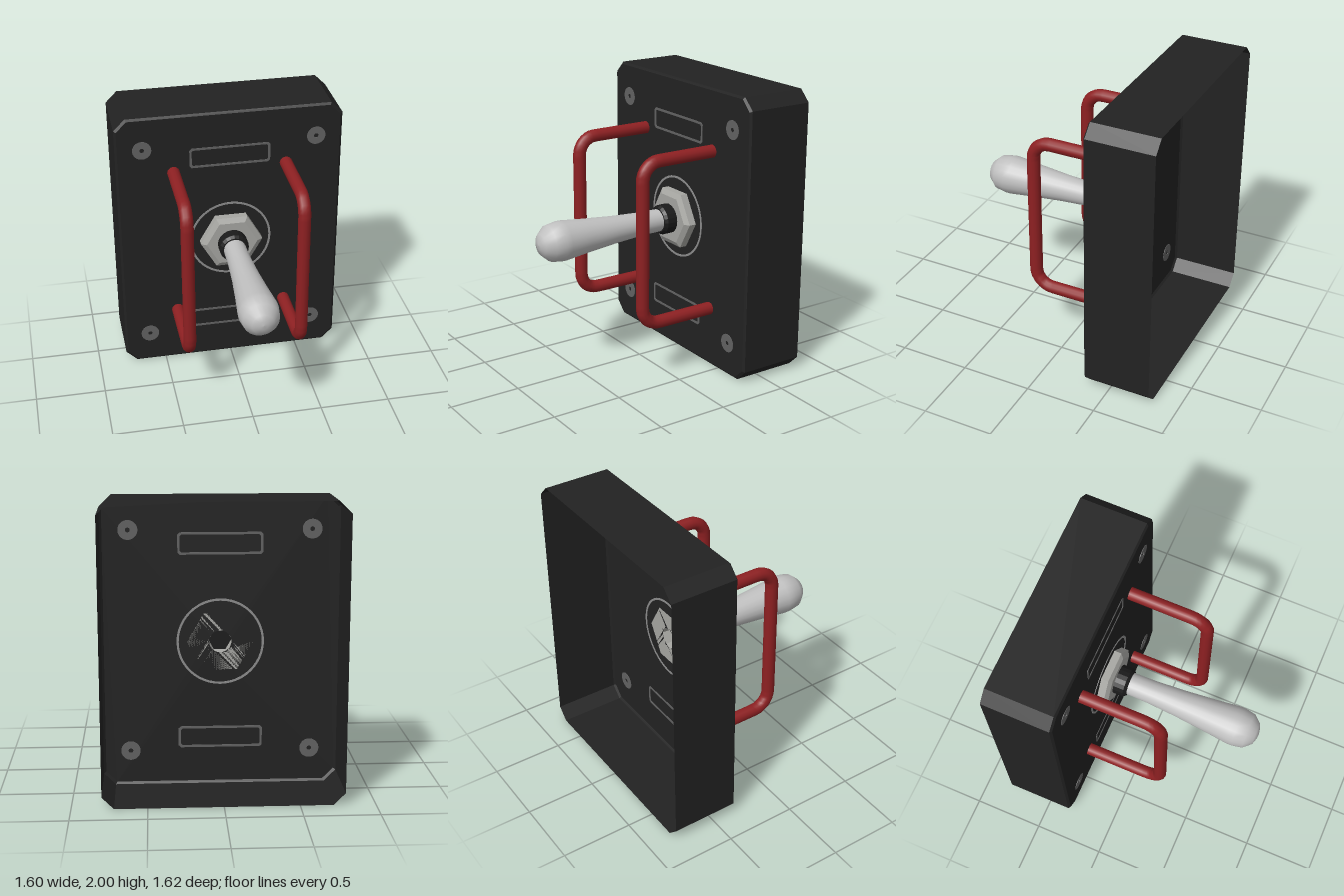
import * as THREE from 'three';

const PANEL_Z = -0.325, MID_Y = 1;

const paint = (name, color, extra = {}) => new THREE.MeshStandardMaterial({ name, color, ...extra });
const black = paint('blackCasing', 0x222222, { side: THREE.DoubleSide });
const collarBlack = paint('collarBlack', 0x1a1a1a);
const red = paint('guardRed', 0x8e2022, { side: THREE.DoubleSide });
const silver = paint('leverSilver', 0xc0c0c0);
const steel = paint('nutSteel', 0xa6a6a2);
const ringGrey = paint('ringGrey', 0x8c8c8c);
const markGrey = paint('markGrey', 0x626262);

function add(parent, name, geometry, material, x = 0, y = 0, z = 0) {
  const mesh = new THREE.Mesh(geometry, material);
  mesh.name = name;
  mesh.position.set(x, y, z);
  parent.add(mesh);
  return mesh;
}

function flat(geometry) {
  const g = geometry.index ? geometry.toNonIndexed() : geometry;
  g.computeVertexNormals();
  return g;
}

// Rectangle with cut corners, shrunk by an inset
function octagon(inset) {
  const w = 0.8 - inset, h = 1 - inset, c = 0.08 - inset * 0.4;
  return [[w, c - h], [w, h - c], [w - c, h], [c - w, h],
    [-w, h - c], [-w, c - h], [c - w, -h], [w - c, -h]].map(([x, y]) => new THREE.Vector2(x, y));
}

// Casing walls: open at the back, small bevel at the front
function wallGeometry() {
  const loops = [[0, -0.81], [0, PANEL_Z - 0.013], [0.015, PANEL_Z]]
    .map(([inset, z]) => octagon(inset).map((p) => [p.x, p.y, z]));
  const pos = [];
  for (let k = 0; k < 2; k++) {
    for (let i = 0; i < 8; i++) {
      const j = (i + 1) % 8, a = loops[k], b = loops[k + 1];
      pos.push(...a[i], ...a[j], ...b[j], ...a[i], ...b[j], ...b[i]);
    }
  }
  const g = new THREE.BufferGeometry();
  g.setAttribute('position', new THREE.Float32BufferAttribute(pos, 3));
  return flat(g);
}

function circlePath(radius) {
  return new THREE.Path().absarc(0, 0, radius, 0, Math.PI * 2, true);
}

// Thin marking seen on both faces of the panel
function plate(shape, hole) {
  shape.holes.push(hole);
  const g = new THREE.ExtrudeGeometry(shape, { depth: 0.007, bevelEnabled: false, curveSegments: 24 });
  return g.translate(0, 0, PANEL_Z - 0.0035);
}

function discShape(radius) {
  return new THREE.Shape().absarc(0, 0, radius, 0, Math.PI * 2, false);
}

function frameOutline(w, h, c) {
  return [[w - c, -h], [w, c - h], [w, h - c], [w - c, h], [c - w, h],
    [-w, h - c], [-w, c - h], [c - w, -h]].map(([x, y]) => new THREE.Vector2(x, y));
}

// Lathe turned so that its axis points to the front; points are [radius, z]
function turned(points, segments, phiStart = 0) {
  const g = new THREE.LatheGeometry(points.map(([r, z]) => new THREE.Vector2(r, z)), segments, phiStart);
  return g.rotateX(Math.PI / 2);
}

// U-shaped guard bar path with rounded corners
function guardPath() {
  const v = (y, z) => new THREE.Vector3(0, y, z);
  const top = 0.572, front = 0.242, r = 0.125;
  const path = new THREE.CurvePath();
  const bend = (s) => {
    const pts = [];
    for (let i = 0; i <= 6; i++) {
      const a = (i / 6) * Math.PI / 2;
      pts.push(v(s * (top - r + r * Math.cos(a)), front - r + r * Math.sin(a)));
    }
    return pts;
  };
  const pts = [v(top, PANEL_Z), ...bend(1), ...bend(-1).reverse(), v(-top, PANEL_Z)];
  for (let i = 0; i < pts.length - 1; i++) path.add(new THREE.LineCurve3(pts[i], pts[i + 1]));
  return path;
}

export function createModel() {
  const model = new THREE.Group();
  model.name = 'toggleSwitch';

  // Casing
  const casing = new THREE.Group();
  casing.name = 'casing';
  model.add(casing);
  add(casing, 'casingWalls', wallGeometry(), black, 0, MID_Y);
  const panel = new THREE.Shape(octagon(0.015));
  panel.holes.push(circlePath(0.075));
  add(casing, 'frontPanel', new THREE.ShapeGeometry(panel, 24), black, 0, MID_Y, PANEL_Z);

  // Panel markings and screws
  add(model, 'dialRing', plate(discShape(0.296), circlePath(0.281)), ringGrey, 0, MID_Y);
  for (const s of [1, -1]) {
    const frame = plate(new THREE.Shape(frameOutline(0.286, 0.075, 0.015)),
      new THREE.Path(frameOutline(0.27, 0.059, 0.01).reverse()));
    add(model, s > 0 ? 'upperLabelFrame' : 'lowerLabelFrame', frame, markGrey, 0, MID_Y + s * 0.669);
    for (const t of [1, -1]) {
      add(model, 'screw', plate(discShape(0.066), circlePath(0.016)), markGrey, t * 0.614, MID_Y + s * 0.762);
    }
  }

  // Guard bars
  const guard = new THREE.TubeGeometry(guardPath(), 96, 0.045, 12, false);
  add(model, 'leftGuard', guard, red, 0.4, MID_Y);
  add(model, 'rightGuard', guard, red, -0.4, MID_Y);

  // Hexagonal nut, collar and lever
  const nut = turned([[0.08, -0.25], [0.085, PANEL_Z], [0.225, PANEL_Z], [0.225, -0.272],
    [0.185, -0.25], [0.08, -0.25]], 6, Math.PI / 2);
  add(model, 'nut', flat(nut), steel, 0, MID_Y);
  const collar = turned([[0, -0.252], [0.106, -0.252], [0.106, -0.175], [0.09, -0.155], [0, -0.155]], 20);
  add(model, 'collar', flat(collar), collarBlack, 0, MID_Y);
  const lever = turned([[0.08, -0.16], [0.083, 0], [0.097, 0.22], [0.12, 0.46], [0.138, 0.62],
    [0.138, 0.66], [0.125, 0.735], [0.075, 0.792], [0.03, 0.806], [0, 0.81]], 20);
  add(model, 'lever', lever, silver, 0, MID_Y);

  return model;
}
